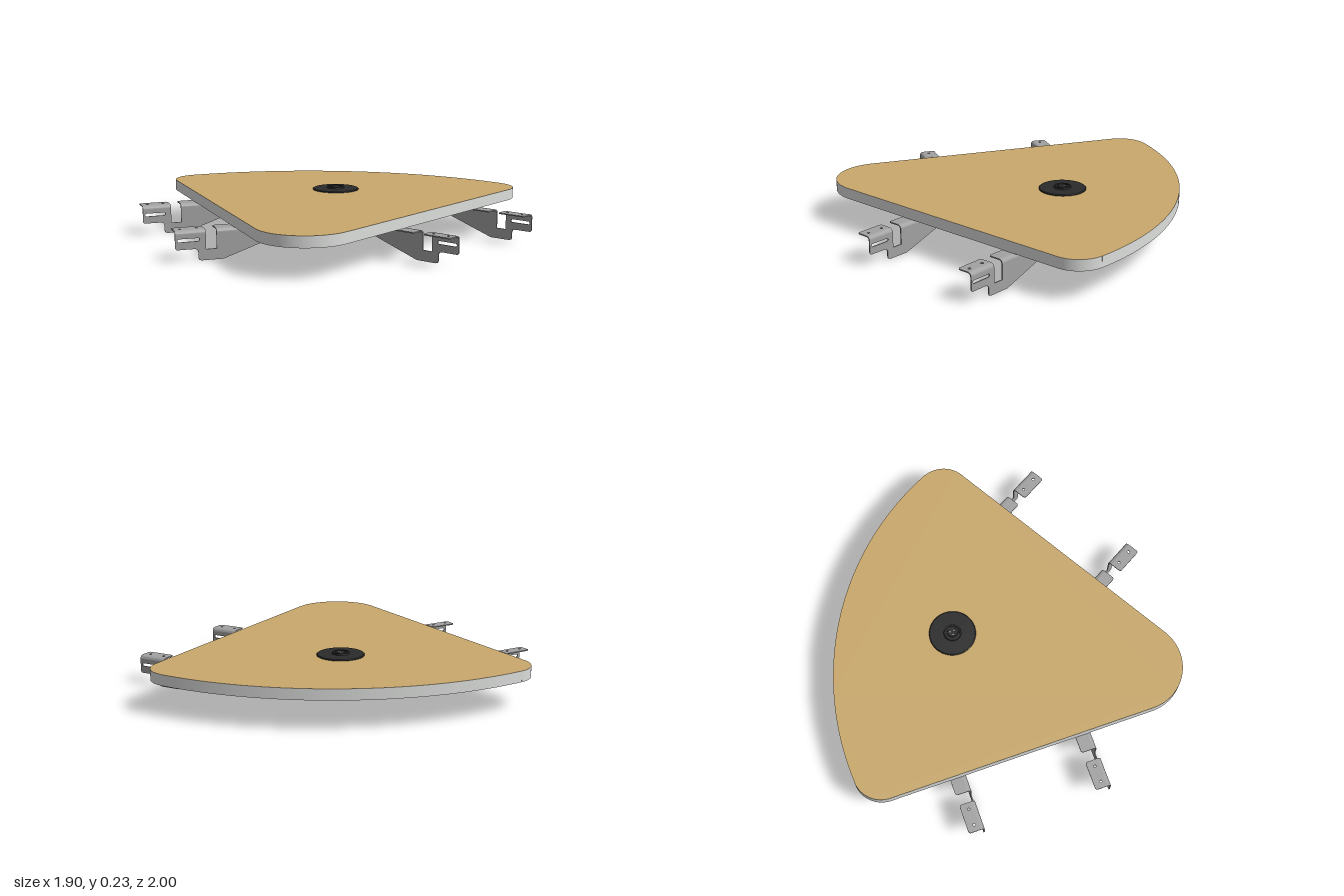
import * as THREE from 'three';
import { toCreasedNormals } from 'three/addons/utils/BufferGeometryUtils.js';

const mat = (name, color, side = THREE.FrontSide) => {
  const m = new THREE.MeshStandardMaterial({ color, side });
  m.name = name;
  return m;
};
const rad = THREE.MathUtils.degToRad;

export function createModel() {
  const wood = mat('tan laminate', 0xc9a86c);
  const edge = mat('pale edge band', 0xdcdedc);
  const steel = mat('grey steel', 0xa2a2a2);
  const black = mat('black plastic', 0x2b2b2b);
  const model = new THREE.Group();

  const add = (parent, name, geo, material, x = 0, y = 0, z = 0) => {
    const mesh = new THREE.Mesh(geo, material);
    mesh.name = name;
    mesh.position.set(x, y, z);
    parent.add(mesh);
    return mesh;
  };
  const extrude = (shape, depth, curveSegments = 12) =>
    new THREE.ExtrudeGeometry(shape, { depth, bevelEnabled: false, curveSegments });
  const roundHole = (x, y, r) => new THREE.Path().absarc(x, y, r, 0, Math.PI * 2, true);

  // Table top: rounded triangle with one bowed side
  const outline = new THREE.Shape();
  outline.absarc(0.795, -0.55, 0.15, rad(-90), rad(-4), false);
  outline.absarc(-0.64, -0.45, 1.59, rad(-4), rad(64.5), false);
  outline.absarc(-0.02, 0.85, 0.15, rad(64.5), rad(150), false);
  outline.absarc(-0.645, -0.45, 0.25, rad(150), rad(270), false);
  const top = toCreasedNormals(extrude(outline, 0.058, 40).rotateX(-Math.PI / 2), 0.5);
  add(model, 'tableTop', top, [wood, edge], 0, 0.157, 0);

  // Cable outlet set in the top
  const outlet = new THREE.Group();
  outlet.name = 'cableOutlet';
  outlet.position.set(0.205, 0, -0.045);
  model.add(outlet);
  const cover = new THREE.LatheGeometry([
    [0.125, 0.213], [0.125, 0.219], [0.121, 0.222], [0.047, 0.223], [0.045, 0.231],
    [0.041, 0.232], [0.037, 0.231], [0.036, 0.226], [0, 0.226],
  ].map(([r, y]) => new THREE.Vector2(r, y)), 48);
  add(outlet, 'outletCover', toCreasedNormals(cover, 0.5), black);
  add(outlet, 'outletSocket', new THREE.CylinderGeometry(0.025, 0.027, 0.005, 24), black, 0, 0.228, 0);
  for (let i = 0; i < 3; i++) {
    const a = rad(90 + i * 120);
    add(outlet, 'socketContact', new THREE.CylinderGeometry(0.004, 0.004, 0.002, 10), steel,
      0.014 * Math.cos(a), 0.231, 0.014 * Math.sin(a));
  }
  // Clips under the top
  for (const z of [0.062, -0.056]) {
    add(outlet, 'clipNeck', new THREE.BoxGeometry(0.1, 0.012, 0.03), black, 0, 0.151, z);
    add(outlet, 'clipStem', new THREE.BoxGeometry(0.03, 0.02, 0.024), black, 0, 0.139, z);
    add(outlet, 'clipBar', new THREE.BoxGeometry(0.14, 0.024, 0.03), black, 0, 0.123, z);
  }

  // Folded steel bracket; u runs inward from its outer end
  const T = 0.006, TOP = 0.156, BEND = 0.02;
  const web = new THREE.Shape([
    [0, TOP - BEND], [0, 0.068], [0.008, 0.06], [0.1, 0.06], [0.112, 0.055], [0.117, 0.045],
    [0.117, 0.015], [0.121, 0.004], [0.132, 0], [0.245, 0], [0.59, 0.115], [0.59, TOP - BEND],
    [0.21, TOP - BEND], [0.21, 0.055], [0.155, 0.055], [0.155, TOP - BEND],
  ].map(([u, y]) => new THREE.Vector2(u, y)));
  const slot = new THREE.Path();
  slot.absarc(0.02, 0.106, 0.008, rad(270), rad(90), true);
  slot.absarc(0.115, 0.106, 0.008, rad(90), rad(-90), true);
  web.holes.push(slot);
  const webGeo = extrude(web, T).rotateY(Math.PI / 2).translate(-T, 0, 0);

  const bend = new THREE.Shape();
  bend.absarc(-BEND, TOP - BEND, BEND, 0, Math.PI / 2, false);
  bend.absarc(-BEND, TOP - BEND, BEND - T, Math.PI / 2, 0, true);

  const flange = (u0, u1, holes) => {
    const s = new THREE.Shape(), r = 0.012, x0 = -0.085;
    s.moveTo(-BEND, u0);
    s.lineTo(-BEND, u1);
    s.lineTo(x0 + r, u1);
    s.absarc(x0 + r, u1 - r, r, rad(90), rad(180), false);
    s.absarc(x0 + r, u0 + r, r, rad(180), rad(270), false);
    s.holes = holes.map((u) => roundHole(-0.045, u, 0.007));
    return extrude(s, T).rotateX(-Math.PI / 2).translate(0, TOP - T, 0);
  };
  const sections = [[0, 0.155, [0.035, 0.12]], [0.21, 0.59, []]].map(([u0, u1, holes]) => ({
    flat: flange(u0, u1, holes),
    fold: toCreasedNormals(extrude(bend, u1 - u0, 8).translate(0, 0, -u1), 0.6),
  }));

  // Two brackets on the front edge, two on the slanted left edge
  for (const [x, z, turn] of [
    [0.535, 1, 0], [-0.15, 1, 0], [-0.605, -0.72, -120], [-0.95, -0.122, -120],
  ]) {
    const bracket = new THREE.Group();
    bracket.name = 'bracket';
    bracket.position.set(x, 0, z);
    bracket.rotation.y = rad(turn);
    add(bracket, 'bracketWeb', webGeo, steel);
    for (const { flat, fold } of sections) {
      add(bracket, 'bracketFlange', flat, steel);
      add(bracket, 'bracketFold', fold, steel);
    }
    model.add(bracket);
  }
  return model;
}
